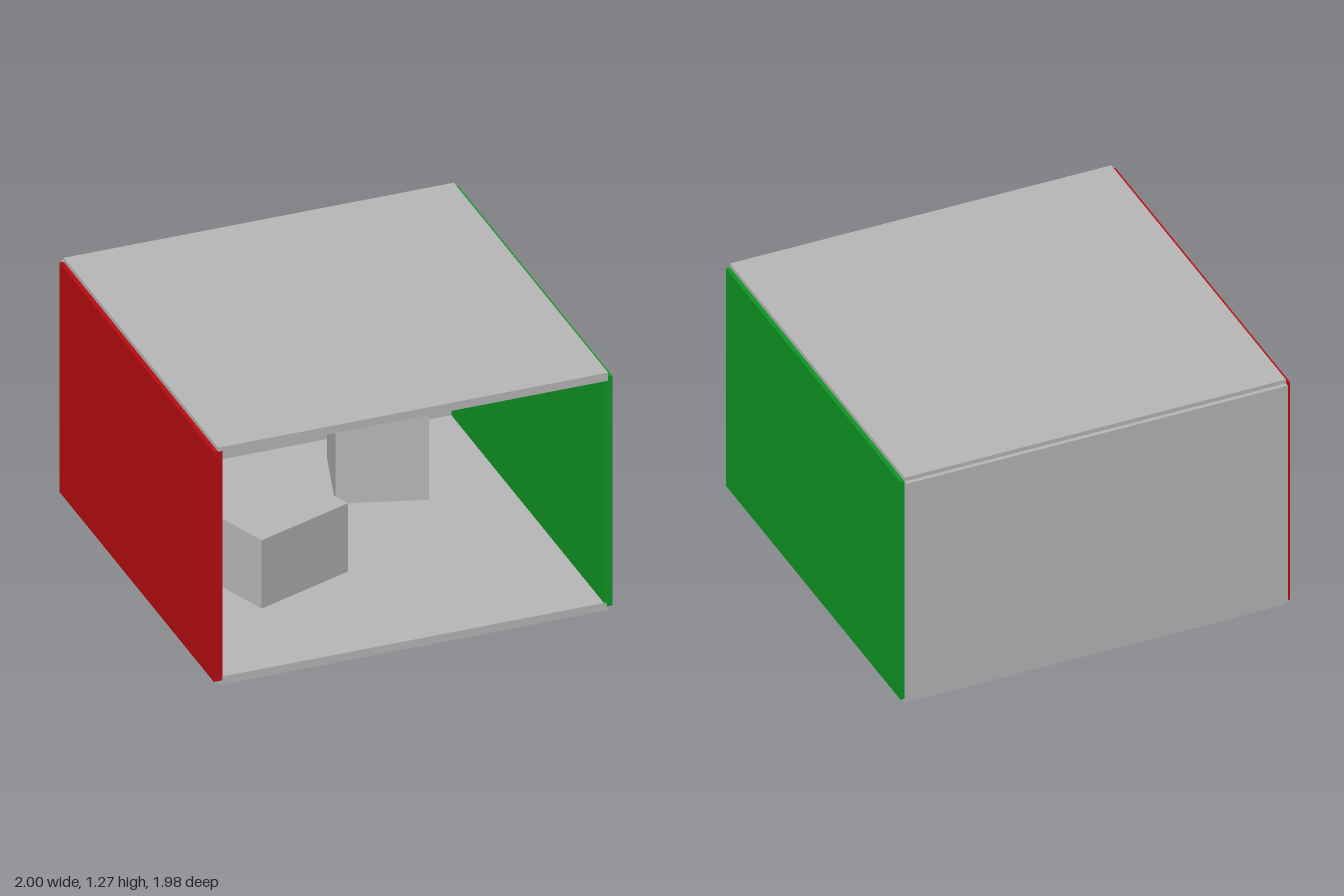
import * as THREE from 'three';

const greyPaint = new THREE.MeshStandardMaterial({ name: 'grey paint', color: 0xb8b8b8 });
const redPaint = new THREE.MeshStandardMaterial({ name: 'red paint', color: 0xba0c10 });
const greenPaint = new THREE.MeshStandardMaterial({ name: 'green paint', color: 0x0f9824 });

const SPAN = 1.957; // length of every panel
const T = 0.043; // panel thickness
const WALL = 1.225; // wall height
const MID = 0.635; // height of the wall centres

// Box of a given size, centred at pos and turned about the vertical axis
function box(name, material, size, pos, turn = 0) {
  const mesh = new THREE.Mesh(new THREE.BoxGeometry(...size), material);
  mesh.name = name;
  mesh.position.set(...pos);
  mesh.rotation.y = turn;
  return mesh;
}

export function createModel() {
  const room = new THREE.Group();
  room.name = 'room';

  // Shell, open at the front; the panels overlap by half a thickness
  room.add(
    box('floor', greyPaint, [SPAN, T, SPAN], [0, T / 2, 0.01]),
    box('ceiling', greyPaint, [SPAN, T, SPAN], [0, MID + WALL / 2, 0.01]),
    box('backWall', greyPaint, [SPAN, WALL, T], [0, MID, -0.968]),
    box('rightWall', redPaint, [T, WALL, SPAN], [-0.9785, MID, 0.01]),
    box('leftWall', greenPaint, [T, WALL, SPAN], [0.9785, MID, 0.01])
  );

  // Two turned blocks standing on the floor
  room.add(
    box('shortBlock', greyPaint, [0.536, 0.365, 0.536], [-0.391, 0.2325, 0.12], 0.345),
    box('tallBlock', greyPaint, [0.438, 0.76, 0.438], [0.4125, 0.425, -0.5], -0.289)
  );
  return room;
}
